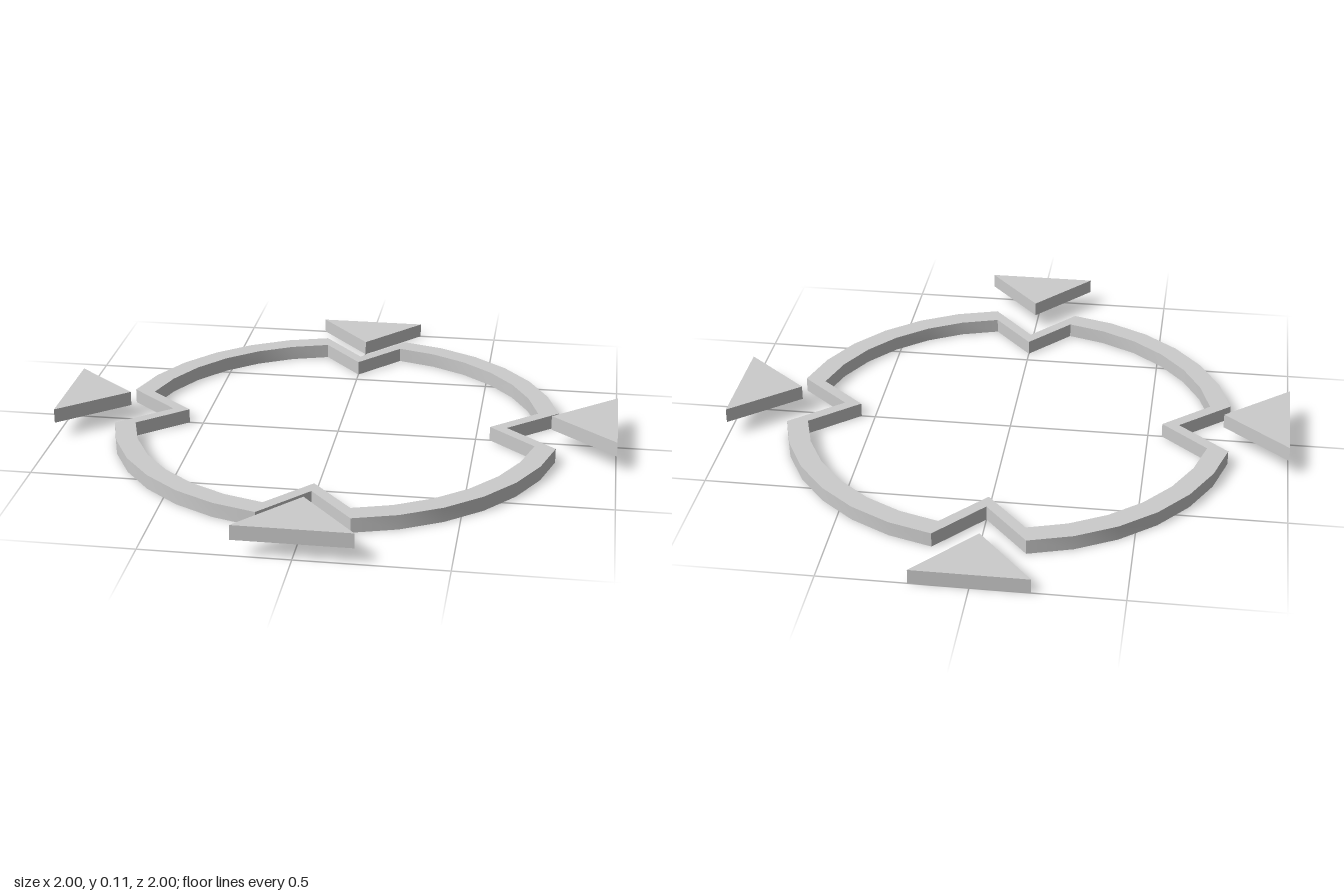
import * as THREE from 'three';
import { toCreasedNormals } from 'three/addons/utils/BufferGeometryUtils.js';

const material = new THREE.MeshStandardMaterial({ color: 0xcccccc });
const THICKNESS = 0.052;

// Flat plate lying on y = 0, extruded upwards
function plate(shape) {
  const geometry = new THREE.ExtrudeGeometry(shape, { depth: THICKNESS, bevelEnabled: false });
  geometry.rotateX(-Math.PI / 2);
  return toCreasedNormals(geometry, 0.4);
}

// Closed outline: four six-sided arcs joined by V notches that point inwards
function notchedOutline(radius, startAngle, notchTip) {
  const points = [];
  const segments = 6;
  for (let quarter = 0; quarter < 4; quarter++) {
    const base = quarter * Math.PI / 2;
    points.push(new THREE.Vector2(Math.cos(base) * notchTip, Math.sin(base) * notchTip));
    for (let i = 0; i <= segments; i++) {
      const a = base + startAngle + (Math.PI / 2 - 2 * startAngle) * i / segments;
      points.push(new THREE.Vector2(Math.cos(a) * radius, Math.sin(a) * radius));
    }
  }
  return points;
}

export function createModel() {
  const model = new THREE.Group();
  model.name = 'notchedRingWithPointers';

  // Ring
  const ringShape = new THREE.Shape(notchedOutline(0.805, 0.195, 0.61));
  ringShape.holes.push(new THREE.Path(notchedOutline(0.73, 0.2, 0.55)));
  const ring = new THREE.Mesh(plate(ringShape), material);
  ring.name = 'notchedRing';
  model.add(ring);

  // Triangular pointers aimed at the notches; the back one sits at ring level
  const triangle = plate(new THREE.Shape([
    new THREE.Vector2(-0.198, -1),
    new THREE.Vector2(0.198, -1),
    new THREE.Vector2(0, -0.768),
  ]));
  ['front', 'left', 'back', 'right'].forEach((side, i) => {
    const pointer = new THREE.Mesh(triangle, material);
    pointer.name = side + 'Pointer';
    pointer.rotation.y = i * Math.PI / 2;
    pointer.position.y = side === 'back' ? 0 : 0.056;
    model.add(pointer);
  });

  return model;
}
